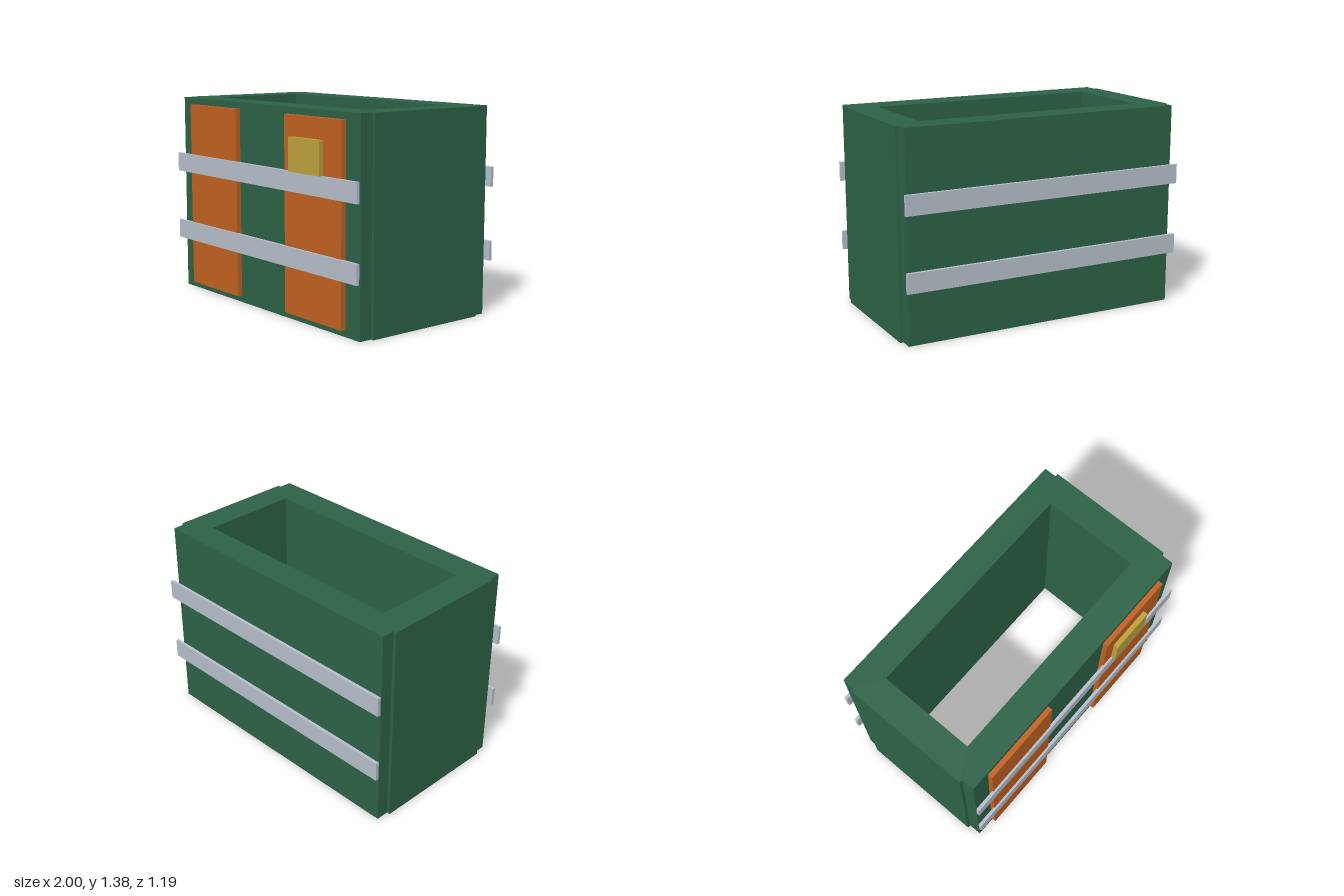
import * as THREE from 'three';

const material = (name, color) => {
  const m = new THREE.MeshStandardMaterial({ color });
  m.name = name;
  return m;
};

export function createModel() {
  const group = new THREE.Group();
  group.name = 'container';
  const green = material('green', 0x2d6247);
  const orange = material('orange', 0xc06221);
  const grey = material('grey', 0xb6bec9);
  const gold = material('gold', 0xbea03b);

  // Box from its minimum and maximum corners
  const box = (name, mat, [x0, y0, z0], [x1, y1, z1]) => {
    const mesh = new THREE.Mesh(new THREE.BoxGeometry(x1 - x0, y1 - y0, z1 - z0), mat);
    mesh.position.set((x0 + x1) / 2, (y0 + y1) / 2, (z0 + z1) / 2);
    mesh.name = name;
    group.add(mesh);
  };

  // Hollow body: notched outline with a rectangular opening right through.
  // Shape y is -z, so the outline stands up after the turn.
  const points = (list) => list.map(([x, z]) => new THREE.Vector2(x, -z));
  const outline = new THREE.Shape(points([
    [-0.978, 0.526], [0.978, 0.526], [0.978, 0.437], [1, 0.437], [1, -0.454], [0.978, -0.454],
    [0.978, -0.541], [-0.978, -0.541], [-0.978, -0.454], [-1, -0.454], [-1, 0.437], [-0.978, 0.437],
  ]));
  outline.holes.push(new THREE.Path(points([[-0.8, 0.325], [-0.8, -0.347], [0.8, -0.347], [0.8, 0.325]])));
  const bodyGeometry = new THREE.ExtrudeGeometry(outline, { depth: 1.38, bevelEnabled: false });
  bodyGeometry.rotateX(-Math.PI / 2);
  const body = new THREE.Mesh(bodyGeometry, green);
  body.name = 'body';
  group.add(body);

  // Front panels
  box('leftPanel', orange, [0.27, 0.045, 0.526], [0.84, 1.335, 0.56]);
  box('rightPanel', orange, [-0.845, 0.045, 0.526], [-0.275, 1.335, 0.56]);

  // Plate on the left panel
  box('plate', gold, [0.355, 0.98, 0.56], [0.665, 1.2, 0.593]);

  // Straps across front and back
  for (const y of [0.358, 0.849]) {
    box('frontStrap', grey, [-1, y, 0.553], [1, y + 0.131, 0.575]);
    box('backStrap', grey, [-1, y, -0.593], [1, y + 0.131, -0.57]);
  }
  return group;
}
